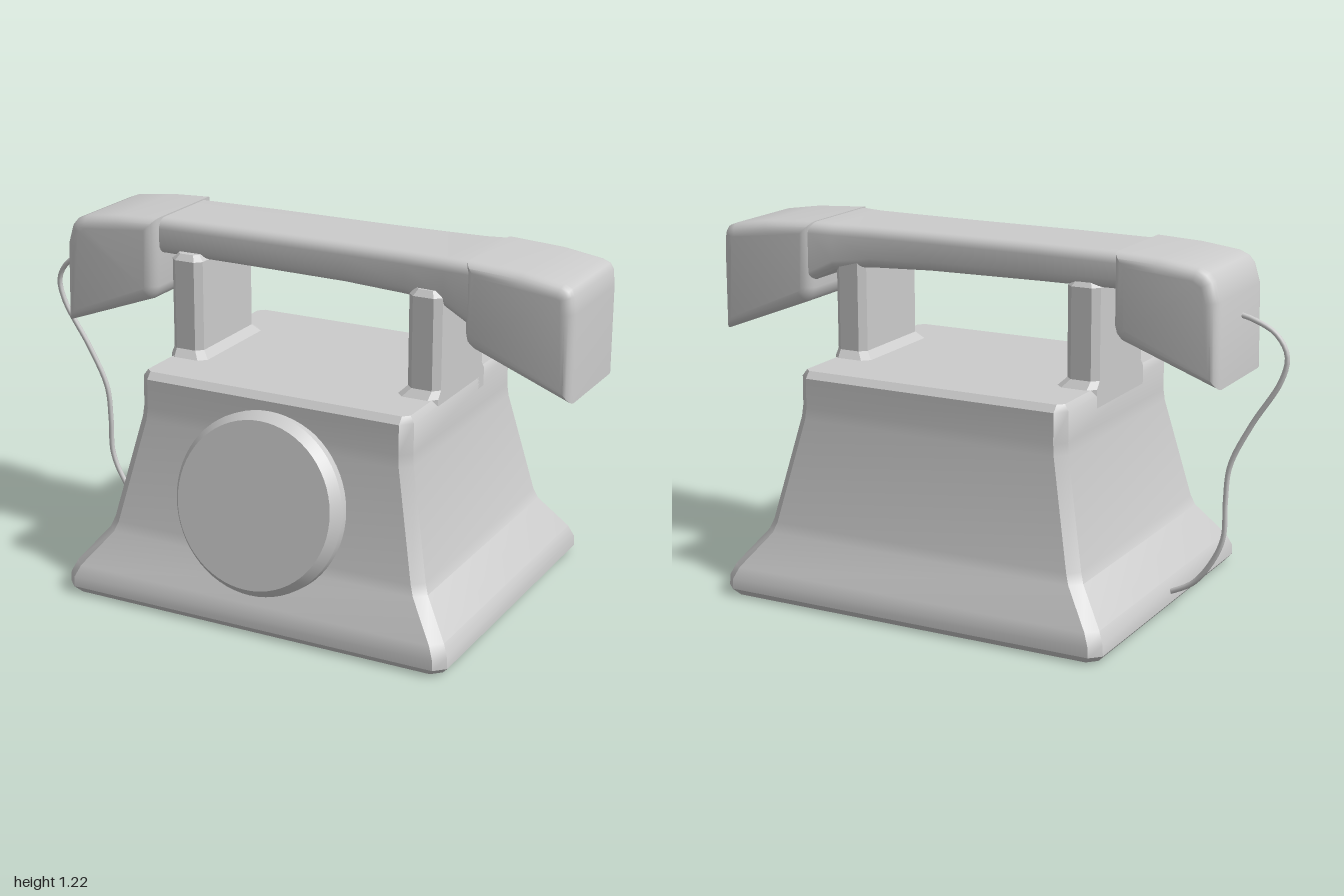
import * as THREE from 'three';
import { toCreasedNormals } from 'three/addons/utils/BufferGeometryUtils.js';

const CX = 0.07; // the base sits a little to the left of the handset

// Ring of a rectangle with cut (n = 1) or rounded corners, counterclockwise from above
function ring([y, hx, hz, r, ox = 0, oz = 0], n) {
  const pts = [];
  [[1, 1], [-1, 1], [-1, -1], [1, -1]].forEach(([sx, sz], k) => {
    for (let i = 0; i <= n; i++) {
      const a = (k + i / n) * Math.PI / 2;
      pts.push([ox + sx * (hx - r) + r * Math.cos(a), y, oz - sz * (hz - r) - r * Math.sin(a)]);
    }
  });
  return pts;
}

// Closed skin over sections [y, halfX, halfZ, corner, offsetX, offsetZ]
function loft(sections, n, crease) {
  const rings = sections.map((s) => ring(s, n));
  const m = rings[0].length, pos = rings.flat(2), idx = [];
  for (let j = 0; j < rings.length - 1; j++) {
    for (let i = 0; i < m; i++) {
      const a = j * m + i, b = j * m + (i + 1) % m;
      idx.push(a, b, b + m, a, b + m, a + m);
    }
  }
  const last = (rings.length - 1) * m;
  for (let i = 1; i < m - 1; i++) {
    idx.push(0, i + 1, i);
    idx.push(last, last + i, last + i + 1);
  }
  const g = new THREE.BufferGeometry();
  g.setAttribute('position', new THREE.Float32BufferAttribute(pos, 3));
  g.setIndex(idx);
  return toCreasedNormals(g, crease);
}

// Side profile extruded across z with softly rounded edges
function roundedSlab(points, halfZ, bevel) {
  const shape = new THREE.Shape(points.map(([x, y]) => new THREE.Vector2(x, y)));
  const g = new THREE.ExtrudeGeometry(shape, {
    depth: 2 * (halfZ - bevel), bevelEnabled: true, bevelThickness: bevel,
    bevelSize: bevel, bevelOffset: -bevel, bevelSegments: 5,
  });
  g.translate(0, 0, -(halfZ - bevel));
  return toCreasedNormals(g, 0.75);
}

export function createModel() {
  const group = new THREE.Group();
  const material = new THREE.MeshStandardMaterial({ color: 0xcccccc });
  const add = (name, geometry) => {
    const mesh = new THREE.Mesh(geometry, material);
    mesh.name = name;
    group.add(mesh);
    return mesh;
  };

  // Flared body with cut corners
  add('body', loft([
    [0, 0.672, 0.55, 0.03],
    [0.025, 0.695, 0.573, 0.035],
    [0.06, 0.693, 0.572, 0.035],
    [0.1, 0.675, 0.557, 0.035],
    [0.215, 0.585, 0.487, 0.035],
    [0.25, 0.572, 0.476, 0.035],
    [0.6, 0.494, 0.411, 0.035],
    [0.64, 0.49, 0.407, 0.035],
    [0.74, 0.49, 0.406, 0.035],
    [0.762, 0.475, 0.385, 0.02],
  ], 1, 0.6)).position.x = CX;

  // Two cradle posts, outer faces flush with the body
  for (const side of [1, -1]) {
    const section = (y, inner, outer, hz, c) =>
      [y, (outer - inner) / 2, hz, c, side * (inner + outer) / 2, 0.015];
    add(side > 0 ? 'leftPost' : 'rightPost', loft([
      section(0.7, 0.35, 0.49, 0.205, 0.025),
      section(0.762, 0.35, 0.49, 0.205, 0.025),
      section(0.787, 0.375, 0.49, 0.182, 0.022),
      section(1.09, 0.375, 0.49, 0.182, 0.022),
      section(1.11, 0.393, 0.472, 0.165, 0.015),
    ], 1, 0.4)).position.x = CX;
  }

  // Tilted dial disc on the front
  const dialProfile = [[0.285, -0.085], [0.3, -0.065], [0.3, -0.035], [0.275, 0], [0, 0]];
  const dialGeometry = new THREE.LatheGeometry(
    dialProfile.map(([r, y]) => new THREE.Vector2(r, y)), 64);
  dialGeometry.rotateX(Math.PI / 2 - 0.195);
  add('dial', toCreasedNormals(dialGeometry, 0.4)).position.set(CX, 0.425, 0.52);

  // Handle, lofted along x from its lower and upper edge
  const grip = (x, low, high, hz) => [x, (high - low) / 2, hz, 0.035, -(low + high) / 2];
  const handle = loft([
    grip(-0.55, 1.09, 1.21, 0.16),
    grip(-0.2, 1.088, 1.213, 0.16),
    grip(0.2, 1.083, 1.213, 0.16),
    grip(0.42, 1.074, 1.213, 0.166),
    grip(0.56, 1.055, 1.212, 0.176),
    grip(0.64, 1.015, 1.214, 0.186),
    grip(0.72, 0.98, 1.205, 0.188),
  ], 5, 0.6);
  handle.rotateZ(-Math.PI / 2);
  add('handle', handle);

  // Earpiece and mouthpiece
  add('earpiece', roundedSlab([
    [-0.84, 0.812], [-0.505, 0.935], [-0.487, 0.955], [-0.48, 0.98], [-0.48, 1.215],
    [-0.63, 1.208], [-0.76, 1.192], [-0.795, 1.178], [-0.815, 1.155], [-0.835, 1.09],
  ], 0.197, 0.04));
  add('mouthpiece', roundedSlab([
    [0.995, 0.812], [0.995, 1.1], [0.99, 1.155], [0.978, 1.175], [0.95, 1.186],
    [0.82, 1.206], [0.635, 1.217], [0.635, 0.99], [0.642, 0.96], [0.665, 0.94],
  ], 0.197, 0.04));

  // Cord from the earpiece down to the base
  const cordPath = new THREE.CatmullRomCurve3([
    [-0.8, 1.02, 0.015], [-0.87, 1.005, 0.015], [-0.95, 0.965, 0.015], [-0.99, 0.9, 0.012],
    [-0.975, 0.82, 0.01], [-0.88, 0.66, 0.005], [-0.815, 0.52, 0], [-0.803, 0.4, 0],
    [-0.8, 0.28, 0], [-0.77, 0.2, 0], [-0.7, 0.105, 0], [-0.6, 0.05, 0],
  ].map((p) => new THREE.Vector3(...p)));
  add('cord', new THREE.TubeGeometry(cordPath, 60, 0.009, 8));

  return group;
}
